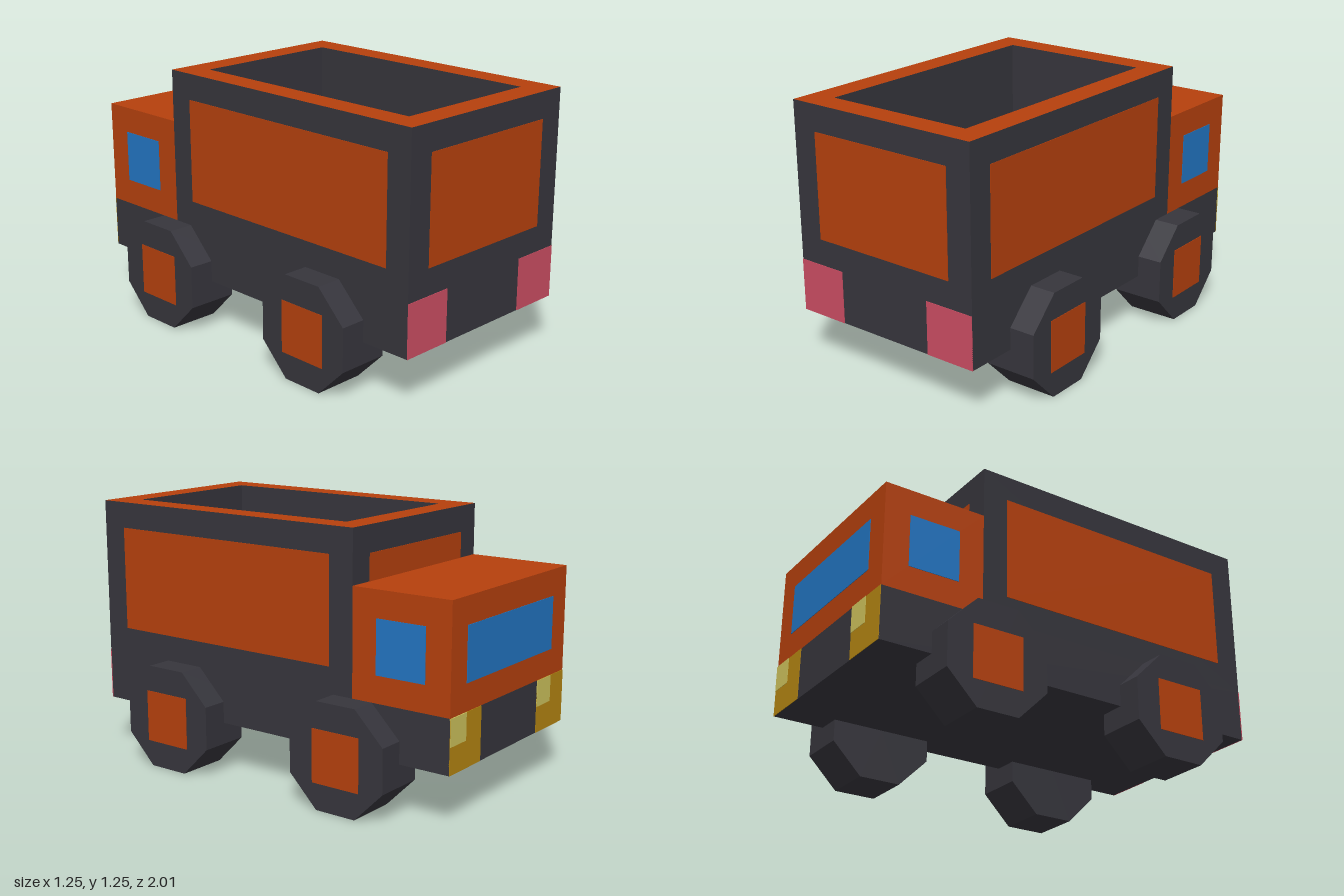
import * as THREE from 'three';

function paint(name, color) {
  const m = new THREE.MeshStandardMaterial({ color });
  m.name = name;
  return m;
}

export function createModel() {
  const orange = paint('orange', 0xb5400d);
  const dark = paint('charcoal', 0x36353c);
  const blue = paint('windowBlue', 0x2275c2);
  const pink = paint('tailPink', 0xca4d62);
  const yellow = paint('lampYellow', 0xb58612);
  const pale = paint('lampPale', 0xcec35c);

  const truck = new THREE.Group();
  truck.name = 'dumpTruck';

  function add(name, geometry, material, x, y, z) {
    const mesh = new THREE.Mesh(geometry, material);
    mesh.name = name;
    mesh.position.set(x, y, z);
    truck.add(mesh);
    return mesh;
  }

  // Thin painted plates centred on a surface facing z or x
  const plateZ = (name, mat, x, y, z, w, h, t = 0.005) =>
    add(name, new THREE.BoxGeometry(w, h, t), mat, x, y, z);
  const plateX = (name, mat, x, y, z, w, h, t = 0.005) =>
    add(name, new THREE.BoxGeometry(t, h, w), mat, x, y, z);

  // Chassis, whose top is also the floor of the bed
  add('chassis', new THREE.BoxGeometry(1, 0.25, 2), dark, 0, 0.375, 0);

  // Cab
  add('cab', new THREE.BoxGeometry(1, 0.5, 0.5), orange, 0, 0.75, -0.75);
  plateZ('windscreen', blue, 0, 0.75, -1, 0.75, 0.25);

  // Open bed: dark walls with an orange rim
  const rect = (path, w, l) => {
    path.moveTo(-w / 2, -l / 2);
    path.lineTo(w / 2, -l / 2);
    path.lineTo(w / 2, l / 2);
    path.lineTo(-w / 2, l / 2);
    path.closePath();
    return path;
  };
  const outline = rect(new THREE.Shape(), 1, 1.5);
  outline.holes.push(rect(new THREE.Path(), 0.75, 1.25));
  const bed = new THREE.ExtrudeGeometry(outline, { depth: 0.75, bevelEnabled: false });
  bed.rotateX(-Math.PI / 2);
  add('bed', bed, [orange, dark], 0, 0.5, 0.25);

  // Panels on the ends of the bed
  plateZ('tailPanel', orange, 0, 0.875, 1, 0.75, 0.5);
  plateZ('bedFrontPanel', orange, 0, 0.875, -0.5, 0.75, 0.5);

  for (const s of [1, -1]) {
    const side = s > 0 ? 'left' : 'right';
    plateX(side + 'BedPanel', orange, s * 0.5, 0.875, 0.25, 1.25, 0.5);
    plateX(side + 'CabWindow', blue, s * 0.5, 0.75, -0.75, 0.25, 0.25);

    // Lamps; the pale glint sits on the same side of both headlamps
    plateZ(side + 'TailLamp', pink, s * 0.375, 0.375, 1, 0.25, 0.25);
    plateZ(side + 'Headlamp', yellow, s * 0.375, 0.375, -1, 0.25, 0.25);
    plateZ(side + 'HeadlampGlint', pale, s * 0.375 + 0.0625, 0.4375, -1, 0.125, 0.125, 0.009);

    // Octagonal wheels resting on a flat side
    for (const z of [0.5, -0.5]) {
      const radius = 0.25 / Math.cos(Math.PI / 8);
      const tyre = new THREE.CylinderGeometry(radius, radius, 0.25, 8).toNonIndexed();
      tyre.rotateY(Math.PI / 8);
      tyre.rotateZ(Math.PI / 2);
      tyre.computeVertexNormals();
      add(side + 'Wheel', tyre, dark, s * 0.5, 0.25, z);
      plateX(side + 'Hub', orange, s * 0.625, 0.25, z, 0.25, 0.25);
    }
  }

  return truck;
}
